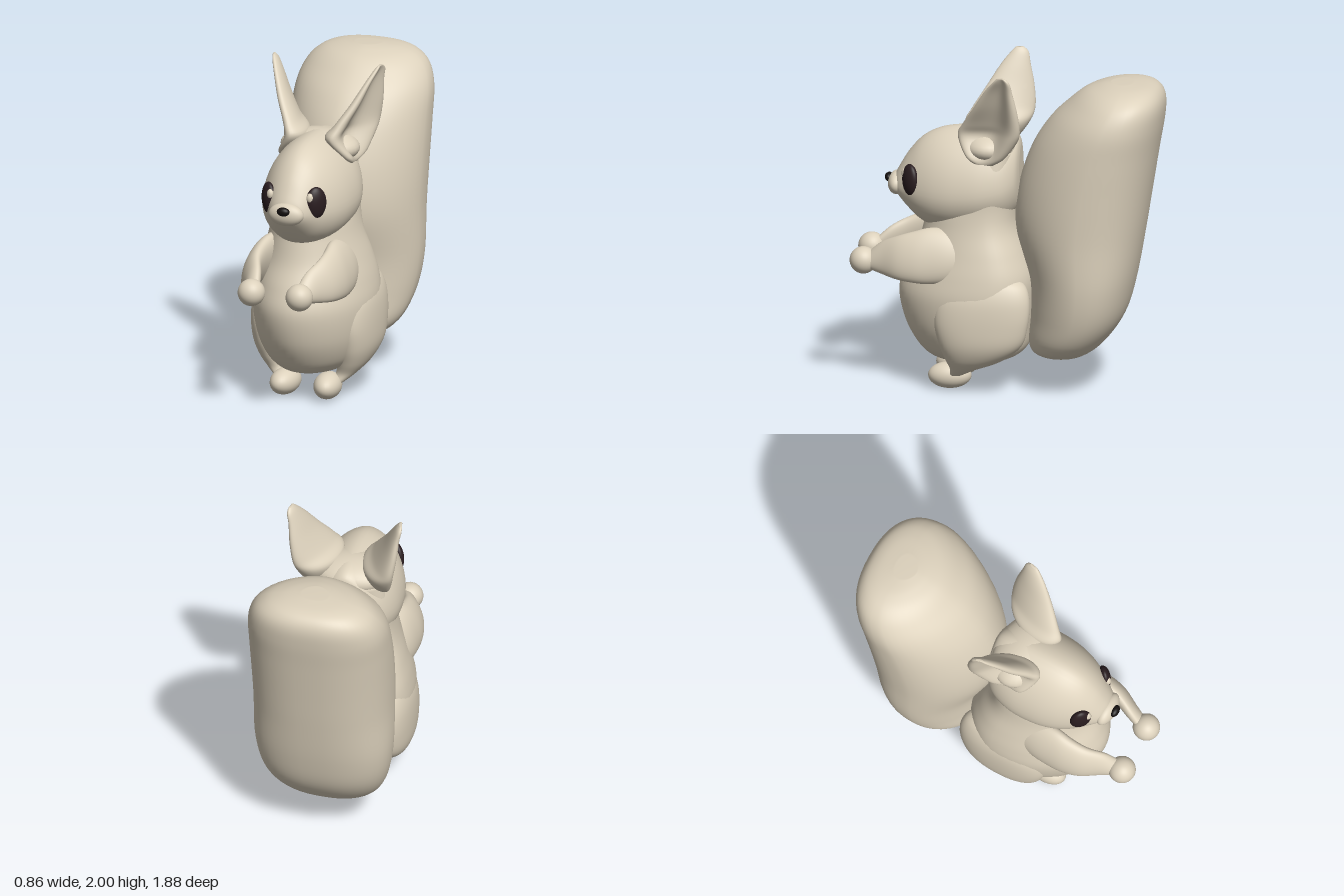
import * as THREE from 'three';

const fur = new THREE.MeshStandardMaterial({ color: 0xdcd1bc });
fur.name = 'fur';
const eyeDark = new THREE.MeshStandardMaterial({ color: 0x2a1d20 });
eyeDark.name = 'eyeDark';
const noseBlack = new THREE.MeshStandardMaterial({ color: 0x14100f });
noseBlack.name = 'noseBlack';

const SEG = 48;

// Uniform Catmull-Rom through rows of section values
function densify(rows, steps = 6) {
  const out = [];
  const at = (i) => rows[Math.max(0, Math.min(rows.length - 1, i))];
  for (let i = 0; i < rows.length - 1; i++) {
    for (let k = 0; k < steps; k++) {
      const t = k / steps;
      out.push(rows[i].map((b, n) => {
        const a = at(i - 1)[n], c = at(i + 1)[n], d = at(i + 2)[n];
        return b + 0.5 * t * (c - a + t * (2 * a - 5 * b + 4 * c - d + t * (3 * (b - c) + d - a)));
      }));
    }
  }
  out.push(rows[rows.length - 1]);
  return out;
}

// Closed smooth skin over rings of points, wound outward
function skin(rings) {
  const pos = [], idx = [];
  for (const ring of rings) for (const p of ring) pos.push(...p);
  const n = rings.length;
  for (let i = 0; i < n - 1; i++) {
    for (let j = 0; j < SEG; j++) {
      const a = i * SEG + j, b = i * SEG + (j + 1) % SEG;
      idx.push(a, a + SEG, b, b, a + SEG, b + SEG);
    }
  }
  for (const end of [0, n - 1]) {
    const c = pos.length / 3;
    pos.push(...[0, 1, 2].map((k) => rings[end].reduce((s, p) => s + p[k], 0) / SEG));
    for (let j = 0; j < SEG; j++) {
      const a = end * SEG + j, b = end * SEG + (j + 1) % SEG;
      idx.push(...(end ? [c, b, a] : [c, a, b]));
    }
  }
  // Signed volume tells whether the faces point inward
  const v = (i) => new THREE.Vector3().fromArray(pos, i * 3);
  let volume = 0;
  for (let i = 0; i < idx.length; i += 3) volume += v(idx[i]).dot(v(idx[i + 1]).cross(v(idx[i + 2])));
  if (volume < 0) idx.reverse();
  const g = new THREE.BufferGeometry();
  g.setAttribute('position', new THREE.Float32BufferAttribute(pos, 3));
  g.setIndex(idx);
  g.computeVertexNormals();
  return g;
}

// Rows: [position on axis, centre x, half width, low, high] of the other direction
function loft(axis, rows, { side = 1, pLow = 2, pHigh = 2, mid = 0.5, shear = 0 } = {}) {
  return skin(densify(rows).map(([t, cx, rx, lo, hi]) => {
    const m = lo + (hi - lo) * mid;
    return Array.from({ length: SEG }, (_, j) => {
      const a = (j / SEG) * Math.PI * 2, c = Math.cos(a), s = Math.sin(a);
      const e = 2 / (s < 0 ? pLow : pHigh);
      const w = m + (s < 0 ? lo - m : hi - m) * Math.abs(s) ** e;
      const x = side * (cx + rx * Math.sign(c) * Math.abs(c) ** e + shear * (w - m));
      return axis === 'y' ? [x, t, w] : [x, w, t];
    });
  }));
}

// Rows: [y, front x, front z, rear x, rear z, inner bulge, rim, cup depth]
function earGeometry(rows, side) {
  return skin(densify(rows).map(([y, fx, fz, bx, bz, bulge, rim, cup]) => {
    const dx = (fx - bx) / 2, dz = (fz - bz) / 2, len = Math.hypot(dx, dz);
    return Array.from({ length: SEG }, (_, j) => {
      const a = (j / SEG) * Math.PI * 2, c = Math.cos(a), s = Math.sin(a);
      const v = s > 0 ? rim * s * (1 - cup * s ** 4) : bulge * s;
      return [side * ((fx + bx) / 2 + dx * c + (dz / len) * v), y, (fz + bz) / 2 + dz * c - (dx / len) * v];
    });
  }));
}

export function createModel() {
  const model = new THREE.Group();
  const add = (name, geometry, material = fur) => {
    const mesh = new THREE.Mesh(geometry, material);
    mesh.name = name;
    model.add(mesh);
    return mesh;
  };
  const ball = (name, [x, y, z], [rx, ry, rz], material = fur, yaw = 0) => {
    const mesh = add(name, new THREE.SphereGeometry(1, 32, 20), material);
    mesh.position.set(x, y, z);
    mesh.scale.set(rx, ry, rz);
    mesh.rotation.y = yaw;
  };

  // Pear-shaped torso, broad at the hips, with the neck running up into the head
  add('body', loft('y', [
    [0.16, 0, 0.13, 0.14, 0.40],
    [0.19, 0, 0.22, -0.02, 0.48],
    [0.26, 0, 0.30, -0.12, 0.55],
    [0.40, 0, 0.35, -0.15, 0.625],
    [0.58, 0, 0.37, -0.17, 0.66],
    [0.72, 0, 0.355, -0.17, 0.62],
    [0.86, 0, 0.32, -0.12, 0.55],
    [1.00, 0, 0.28, -0.06, 0.51],
    [1.12, 0, 0.26, -0.045, 0.48],
    [1.30, 0, 0.245, -0.05, 0.36],
    [1.48, 0, 0.20, -0.055, 0.25],
  ], { pLow: 2.4, pHigh: 1.95, mid: 0.38 }));

  // Head, from the back of the skull to the snout, narrowing upward
  add('head', loft('z', [
    [-0.075, 0, 0.08, 1.22, 1.50],
    [-0.055, 0, 0.16, 1.12, 1.56],
    [0.02, 0, 0.235, 1.03, 1.595],
    [0.15, 0, 0.275, 0.98, 1.605],
    [0.30, 0, 0.275, 0.96, 1.60],
    [0.42, 0, 0.25, 0.97, 1.575],
    [0.52, 0, 0.205, 1.01, 1.52],
    [0.60, 0, 0.15, 1.08, 1.43],
    [0.66, 0, 0.10, 1.15, 1.33],
    [0.685, 0, 0.05, 1.19, 1.28],
  ], { pLow: 2, pHigh: 1.8, mid: 0.4 }));

  // Crown joining the roots of the ears
  ball('crown', [0, 1.50, 0.11], [0.245, 0.105, 0.175]);

  // Muzzle and nose
  ball('muzzle', [0, 1.225, 0.675], [0.11, 0.07, 0.055]);
  ball('nose', [0, 1.255, 0.725], [0.04, 0.027, 0.025], noseBlack);

  // Big upright bushy tail, keeled toward the back and squarer behind
  add('tail', loft('y', [
    [0.21, 0, 0.10, -0.38, -0.20],
    [0.235, 0, 0.22, -0.48, -0.14],
    [0.32, 0, 0.32, -0.59, -0.12],
    [0.48, 0, 0.385, -0.70, -0.13],
    [0.70, 0, 0.42, -0.765, -0.12],
    [1.00, 0, 0.425, -0.82, -0.045],
    [1.25, 0, 0.43, -0.86, -0.06],
    [1.50, 0, 0.43, -0.90, -0.14],
    [1.68, 0, 0.42, -0.93, -0.25],
    [1.80, 0, 0.375, -0.937, -0.37],
    [1.87, 0, 0.30, -0.91, -0.46],
    [1.905, 0, 0.20, -0.85, -0.55],
    [1.92, 0, 0.08, -0.75, -0.62],
  ], { pLow: 2.35, pHigh: 1.75, mid: 0.45 }));

  for (const side of [1, -1]) {
    const tag = side > 0 ? 'left' : 'right';

    // Pointed ear, cupped outside and swelling into the skull inside
    add(tag + 'Ear', earGeometry([
      [1.42, 0.21, 0.17, 0.215, 0.06, 0.04, 0.02, 0.6],
      [1.47, 0.20, 0.23, 0.24, -0.01, 0.10, 0.05, 1.1],
      [1.58, 0.125, 0.285, 0.275, -0.085, 0.125, 0.07, 1.5],
      [1.66, 0.155, 0.25, 0.295, -0.11, 0.08, 0.06, 1.55],
      [1.78, 0.225, 0.175, 0.315, -0.10, 0.055, 0.05, 1.5],
      [1.90, 0.285, 0.10, 0.33, -0.075, 0.036, 0.032, 1.4],
      [1.97, 0.32, 0.045, 0.345, -0.06, 0.024, 0.022, 1],
      [2.00, 0.335, 0.015, 0.345, -0.03, 0.01, 0.01, 0.5],
    ], side));

    // Eye and its highlight
    ball(tag + 'Eye', [side * 0.15, 1.285, 0.572], [0.066, 0.098, 0.037], eyeDark, side * 0.76);
    ball(tag + 'EyeHighlight', [side * 0.128, 1.32, 0.607], [0.024, 0.032, 0.02], fur, side * 0.72);

    // Tapering arm reaching forward to a round paw, elbow turned out
    add(tag + 'Arm', loft('z', [
      [0.08, 0.17, 0.04, 0.78, 0.92],
      [0.20, 0.20, 0.08, 0.72, 0.98],
      [0.32, 0.23, 0.08, 0.695, 1.005],
      [0.44, 0.245, 0.073, 0.685, 1.01],
      [0.54, 0.25, 0.066, 0.69, 0.985],
      [0.64, 0.235, 0.058, 0.70, 0.95],
      [0.74, 0.19, 0.05, 0.715, 0.90],
      [0.82, 0.16, 0.042, 0.73, 0.83],
    ], { side, shear: -0.25 }));
    ball(tag + 'Paw', [side * 0.153, 0.775, 0.855], [0.082, 0.082, 0.082]);

    // Thigh narrowing down to the ankle
    add(tag + 'Leg', loft('y', [
      [0.10, 0.18, 0.04, 0.25, 0.33],
      [0.15, 0.22, 0.06, 0.16, 0.32],
      [0.22, 0.25, 0.09, 0.00, 0.345],
      [0.32, 0.27, 0.11, -0.12, 0.38],
      [0.45, 0.28, 0.108, -0.16, 0.405],
      [0.58, 0.27, 0.108, -0.17, 0.395],
      [0.67, 0.25, 0.10, -0.15, 0.34],
      [0.72, 0.23, 0.08, -0.10, 0.24],
      [0.75, 0.21, 0.03, -0.03, 0.14],
    ], { side, pLow: 2.2, pHigh: 2.2 }));
    ball(tag + 'Foot', [side * 0.135, 0.082, 0.335], [0.083, 0.08, 0.13], fur, side * 0.12);
  }
  return model;
}
